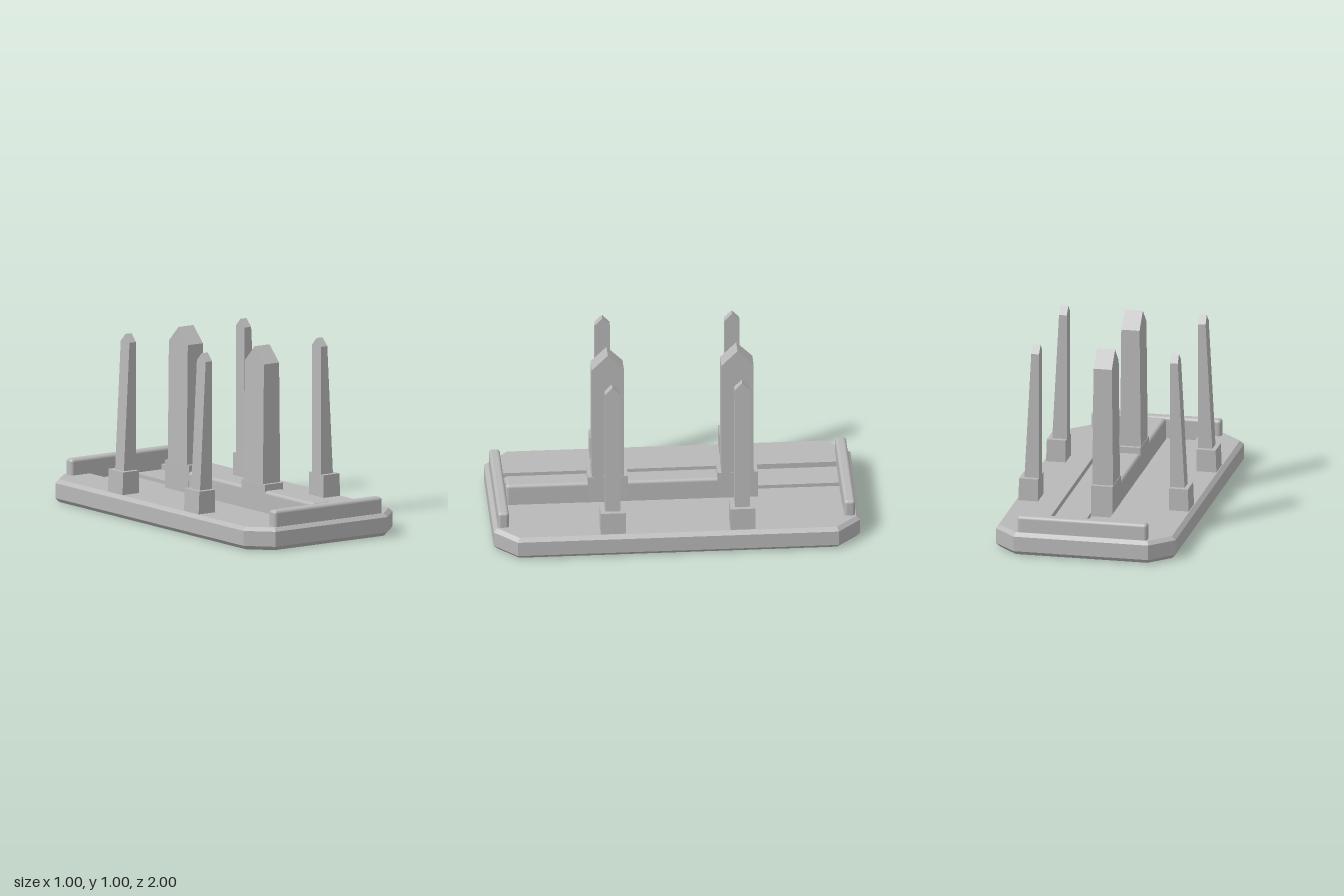
import * as THREE from 'three';
import { RoundedBoxGeometry } from 'three/addons/geometries/RoundedBoxGeometry.js';

const grey = new THREE.MeshStandardMaterial({ color: 0xb8b8b8 });
grey.name = 'plain grey';

const DECK = 0.125, RECESS = 0.095, CHANNEL = 0.075, END = 0.917;

function add(parent, name, geometry, x = 0, y = 0, z = 0) {
  const mesh = new THREE.Mesh(geometry, grey);
  mesh.name = name;
  mesh.position.set(x, y, z);
  parent.add(mesh);
  return mesh;
}

// Plan outline with cut corners, inset by d
function outline(d) {
  const x = 0.5 - d, z = 1 - d, cx = 0.375 - 0.414 * d, cz = 0.875 - 0.414 * d;
  return [[x, cz], [cx, z], [-cx, z], [-x, cz], [-x, -cz], [-cx, -z], [cx, -z], [x, -cz]];
}

const shapeOf = (pts) => new THREE.Shape(pts.map(([x, z]) => new THREE.Vector2(x, z)));
const rect = (w, l) => [[w, l], [-w, l], [-w, -l], [w, -l]];

// Flat walls joining loops [points, y], listed from low to high
function walls(loops) {
  const pos = [];
  for (let i = 0; i < loops.length - 1; i++) {
    const [lo, y0] = loops[i], [hi, y1] = loops[i + 1];
    lo.forEach((p, j) => {
      const k = (j + 1) % lo.length;
      const a = [p[0], y0, p[1]], b = [lo[k][0], y0, lo[k][1]];
      const c = [hi[k][0], y1, hi[k][1]], d = [hi[j][0], y1, hi[j][1]];
      pos.push(...a, ...c, ...b, ...a, ...d, ...c);
    });
  }
  const g = new THREE.BufferGeometry();
  g.setAttribute('position', new THREE.Float32BufferAttribute(pos, 3));
  g.computeVertexNormals();
  return g;
}

// Horizontal face with an optional rectangular hole
function face(pts, hole) {
  const s = shapeOf(pts);
  if (hole) s.holes.push(shapeOf(hole));
  return new THREE.ShapeGeometry(s).rotateX(-Math.PI / 2);
}

// Side profile in (z, y) swept across x, with its sides sloping from bottom to top
function tapered(profile, y0, y1, [in0, out0], [in1, out1]) {
  const g = new THREE.ExtrudeGeometry(shapeOf(profile), { depth: 1, bevelEnabled: false }).rotateY(-Math.PI / 2);
  const p = g.attributes.position;
  for (let i = 0; i < p.count; i++) {
    const t = (p.getY(i) - y0) / (y1 - y0);
    const a = THREE.MathUtils.lerp(in0, in1, t), b = THREE.MathUtils.lerp(out0, out1, t);
    p.setX(i, THREE.MathUtils.lerp(a, b, p.getX(i) + 1));
  }
  g.computeVertexNormals();
  return g;
}

const block = (h, y0, y1) => [[-h, y0], [h, y0], [h, y1], [-h, y1]];
const pointed = (h, y0, shoulder) => [[-h, y0], [h, y0], [h, shoulder], [0, 1], [-h, shoulder]];

function createModel() {
  const model = new THREE.Group();
  model.name = 'postedBase';

  // Base slab with chamfered rims and a stepped recess in the deck
  const base = new THREE.Group();
  base.name = 'base';
  model.add(base);
  const inset = outline(0.021);
  add(base, 'baseSides', walls([[inset, 0], [outline(0), 0.022], [outline(0), 0.105], [inset, DECK]]));
  add(base, 'deck', face(inset, rect(0.24, END)), 0, DECK);
  add(base, 'recessFloor', face(rect(0.24, END), rect(0.06, END - 0.001)), 0, RECESS);
  add(base, 'channelFloor', face(rect(0.06, END)), 0, CHANNEL);
  // Listing loops downwards turns the walls inwards
  add(base, 'recessWalls', walls([[rect(0.24, END), DECK], [rect(0.24, END), RECESS]]));
  add(base, 'channelWalls', walls([[rect(0.06, END), RECESS], [rect(0.06, END), CHANNEL]]));

  // Underside with four shallow round pockets
  const R = 0.086, DEPTH = 0.013;
  const under = shapeOf(inset);
  for (const x of [-0.3, 0.3]) for (const z of [-0.8, 0.8]) {
    under.holes.push(new THREE.Path().absarc(x, z, R, 0, Math.PI * 2, true));
    const circle = Array.from({ length: 32 }, (_, i) => {
      const a = (i / 32) * Math.PI * 2;
      return [R * Math.cos(a), R * Math.sin(a)];
    });
    add(base, 'pocketWall', walls([[circle, DEPTH], [circle, 0]]), x, 0, z);
    add(base, 'pocketFloor', new THREE.CircleGeometry(R, 32).rotateX(Math.PI / 2), x, DEPTH, z);
  }
  add(base, 'underside', new THREE.ShapeGeometry(under, 16).rotateX(Math.PI / 2));

  // Rounded rails across both ends, and one along the middle
  for (const z of [-0.945, 0.945]) {
    add(model, 'endRail', new RoundedBoxGeometry(0.725, 0.135, 0.06, 4, 0.018), 0, 0.1475, z);
  }
  add(model, 'middleRail', new RoundedBoxGeometry(0.12, 0.155, 1.21, 4, 0.018), 0, 0.1375, 0.305);

  for (const z of [-0.354, 0.354]) {
    // Wide middle posts on footings
    add(model, 'middleFooting', tapered(block(0.11, CHANNEL, 0.25), CHANNEL, 0.25, [-0.061, 0.061], [-0.06, 0.06]), 0, 0, z);
    add(model, 'middlePost', tapered(pointed(0.088, 0.25, 0.912), 0.25, 1, [-0.058, 0.058], [-0.05, 0.05]), 0, 0, z);

    // Slim side posts, upright inside and sloping outside
    for (const side of [-1, 1]) {
      const span = (a, b) => (side > 0 ? [a, b] : [-b, -a]);
      add(model, 'sideFooting', tapered(block(0.068, DECK, 0.25), DECK, 0.25, span(0.365, 0.475), span(0.365, 0.47)), 0, 0, z);
      add(model, 'sidePost', tapered(pointed(0.041, 0.25, 0.957), 0.25, 1, span(0.365, 0.446), span(0.365, 0.406)), 0, 0, z);
    }
  }
  return model;
}

export { createModel };
